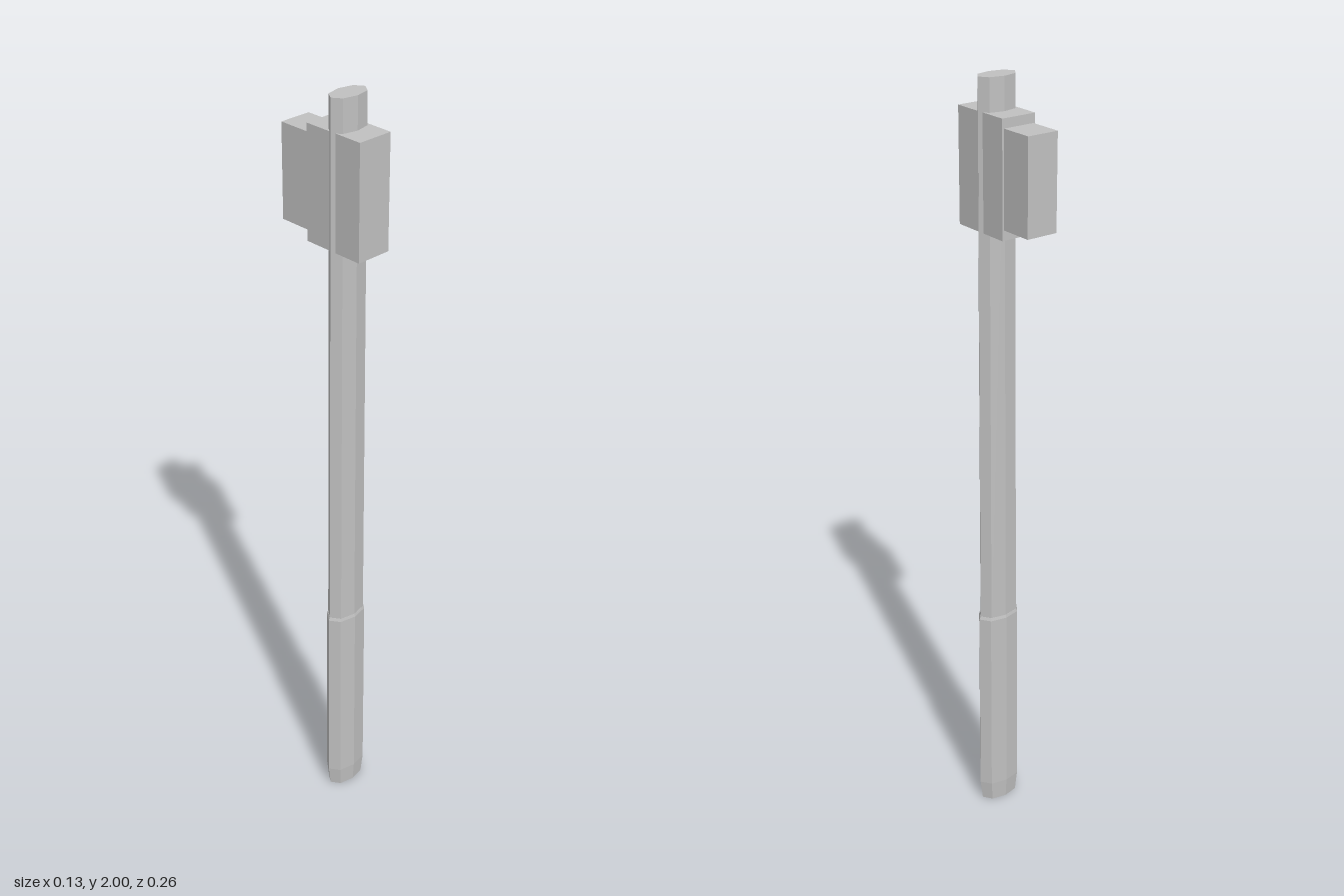
import * as THREE from 'three';

// Eight-sided flattened outline, as x and z
const OUTLINE = [[0, 0.031], [0.038, 0.023], [0.054, 0], [0.038, -0.023], [0, -0.031], [-0.038, -0.023], [-0.054, 0], [-0.038, 0.023]];

// Closed flat-sided loft through [height, scale] sections
function loft(sections) {
  const n = OUTLINE.length;
  const pos = [];
  const point = ([y, s], i) => [OUTLINE[i % n][0] * s, y, OUTLINE[i % n][1] * s];
  const tri = (a, b, c) => pos.push(...a, ...b, ...c);
  for (let k = 0; k < sections.length - 1; k++) {
    const lo = sections[k], hi = sections[k + 1];
    for (let i = 0; i < n; i++) {
      tri(point(lo, i), point(lo, i + 1), point(hi, i + 1));
      tri(point(lo, i), point(hi, i + 1), point(hi, i));
    }
  }
  const bottom = sections[0], top = sections[sections.length - 1];
  for (let i = 0; i < n; i++) {
    tri([0, top[0], 0], point(top, i), point(top, i + 1));
    tri([0, bottom[0], 0], point(bottom, i + 1), point(bottom, i));
  }
  const g = new THREE.BufferGeometry();
  g.setAttribute('position', new THREE.Float32BufferAttribute(pos, 3));
  g.computeVertexNormals();
  return g;
}

export function createModel() {
  const group = new THREE.Group();
  const grey = new THREE.MeshStandardMaterial({ color: 0xc0c0c0 });
  grey.name = 'light grey';

  const add = (name, geometry, x, y, z) => {
    const mesh = new THREE.Mesh(geometry, grey);
    mesh.name = name;
    mesh.position.set(x, y, z);
    group.add(mesh);
  };
  const block = (name, width, y0, y1, z0, z1) =>
    add(name, new THREE.BoxGeometry(width, y1 - y0, z1 - z0), 0, (y0 + y1) / 2, (z0 + z1) / 2);

  // Handle: slightly tapered shaft and a thicker grip with a chamfered end
  add('shaft', loft([[0.56, 1.06], [2, 0.98]]), 0, 0, 0.043);
  add('grip', loft([[0, 1.03], [0.055, 1.16], [0.58, 1.14], [0.588, 1.08]]), 0, 0, 0.043);

  // Head: main block around the shaft and a smaller block behind it
  block('headBlock', 0.094, 1.635, 1.92, -0.04, 0.128);
  block('rearBlock', 0.084, 1.66, 1.897, -0.128, -0.04);
  return group;
}
